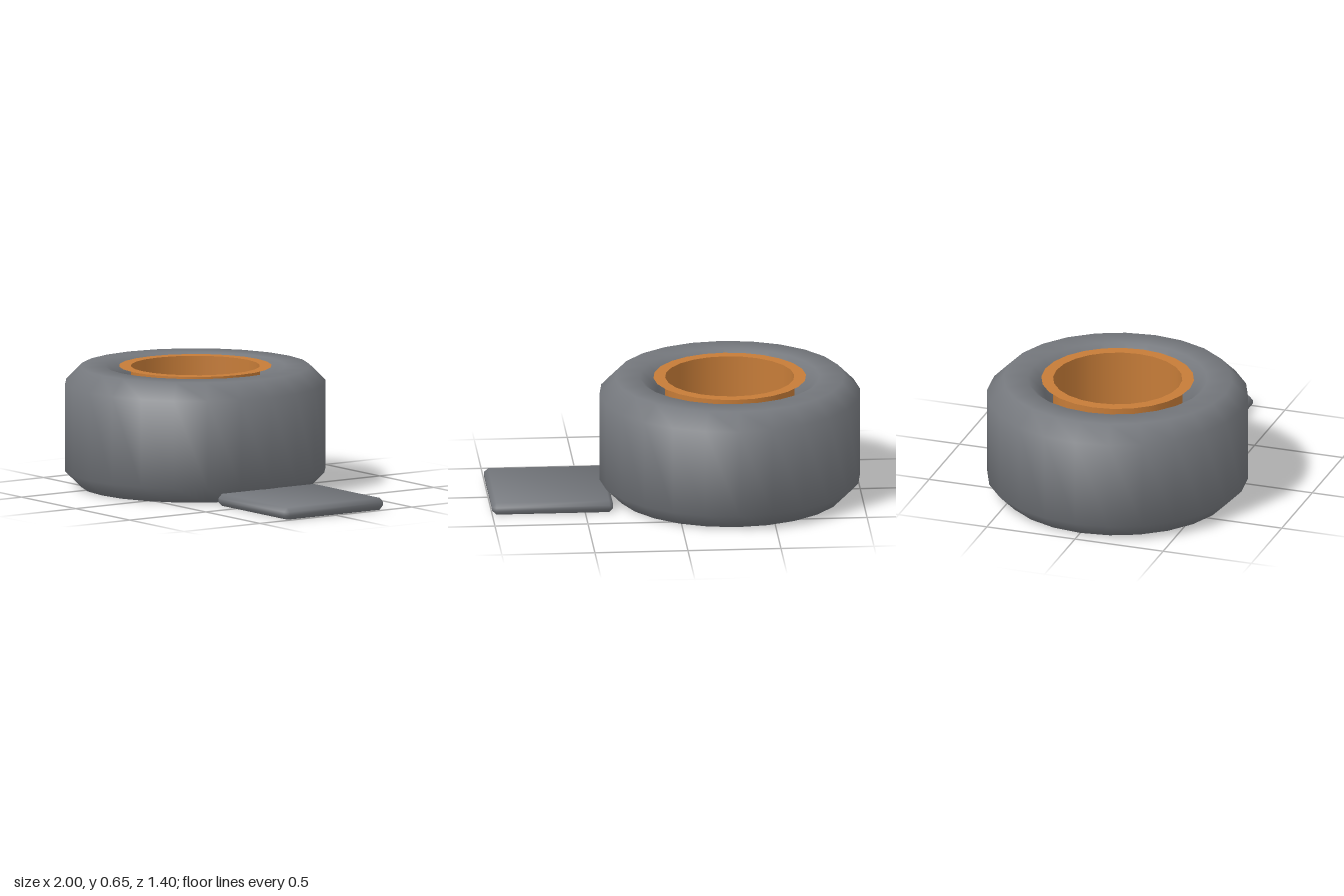
import * as THREE from 'three';
import { ConvexGeometry } from 'three/addons/geometries/ConvexGeometry.js';

const SIDES = 24;
const HEIGHT = 0.65;
const BEVEL = 0.087;

const tapeGrey = new THREE.MeshStandardMaterial({ color: 0x75787d });
tapeGrey.name = 'tapeGrey';
const cardboard = new THREE.MeshStandardMaterial({ color: 0xc67c38, side: THREE.DoubleSide });
cardboard.name = 'cardboard';

function lathe(name, points, material) {
  const profile = points.map(([r, y]) => new THREE.Vector2(r, y));
  const mesh = new THREE.Mesh(new THREE.LatheGeometry(profile, SIDES), material);
  mesh.name = name;
  return mesh;
}

// Box with one-step chamfers; normals lean outward so the edges shade softly
function chamferedBox(w, h, d, c) {
  const half = [w / 2, h / 2, d / 2];
  const points = [];
  for (const sx of [-1, 1]) for (const sy of [-1, 1]) for (const sz of [-1, 1]) {
    for (let axis = 0; axis < 3; axis++) {
      const p = [sx, sy, sz].map((s, i) => s * (half[i] - (i === axis ? 0 : c)));
      points.push(new THREE.Vector3(...p));
    }
  }
  const geometry = new ConvexGeometry(points);
  const { position, normal } = geometry.attributes;
  for (let v = 0; v < position.count; v++) {
    const n = half.map((size, i) => {
      const p = position.getComponent(v, i);
      return Math.sign(p) * (Math.abs(p) > size - c / 2 ? 0.86 : 0.36);
    });
    normal.setXYZ(v, ...n);
  }
  return geometry;
}

export function createModel() {
  const model = new THREE.Group();
  model.name = 'tapeRoll';

  const roll = new THREE.Group();
  roll.name = 'roll';
  roll.position.x = -0.299;
  model.add(roll);

  // Wound tape: a closed ring with an octagonal section
  const inner = 0.395, outer = 0.701;
  const section = [
    [inner, BEVEL], [inner + BEVEL, 0], [outer - BEVEL, 0], [outer, BEVEL],
    [outer, HEIGHT - BEVEL], [outer - BEVEL, HEIGHT],
    [inner + BEVEL, HEIGHT], [inner, HEIGHT - BEVEL], [inner, BEVEL],
  ];
  const tape = lathe('woundTape', section, tapeGrey);
  // Each corner's normal bisects its two faces, whatever their widths
  const { normal } = tape.geometry.attributes;
  for (let v = 0; v < normal.count; v++) {
    const turn = 2 * Math.PI * Math.floor(v / section.length) / SIDES;
    const tilt = Math.PI * (202.5 + 45 * (v % section.length)) / 180;
    normal.setXYZ(v, Math.cos(tilt) * Math.sin(turn), Math.sin(tilt), Math.cos(tilt) * Math.cos(turn));
  }
  roll.add(tape);

  // Cardboard core: separate faces keep the rims crisp
  const rim = 0.41, bore = 0.347;
  roll.add(lathe('coreTopRim', [[rim, HEIGHT], [bore, HEIGHT]], cardboard));
  roll.add(lathe('coreBore', [[bore, HEIGHT], [bore, 0]], cardboard));
  roll.add(lathe('coreBottomRim', [[bore, 0], [rim, 0]], cardboard));

  // Loose end of the tape lying on the ground
  const flap = new THREE.Mesh(chamferedBox(0.65, 0.065, 0.65, 0.022), tapeGrey);
  flap.name = 'looseEnd';
  flap.position.set(0.675, 0.0325, 0);
  model.add(flap);

  return model;
}
